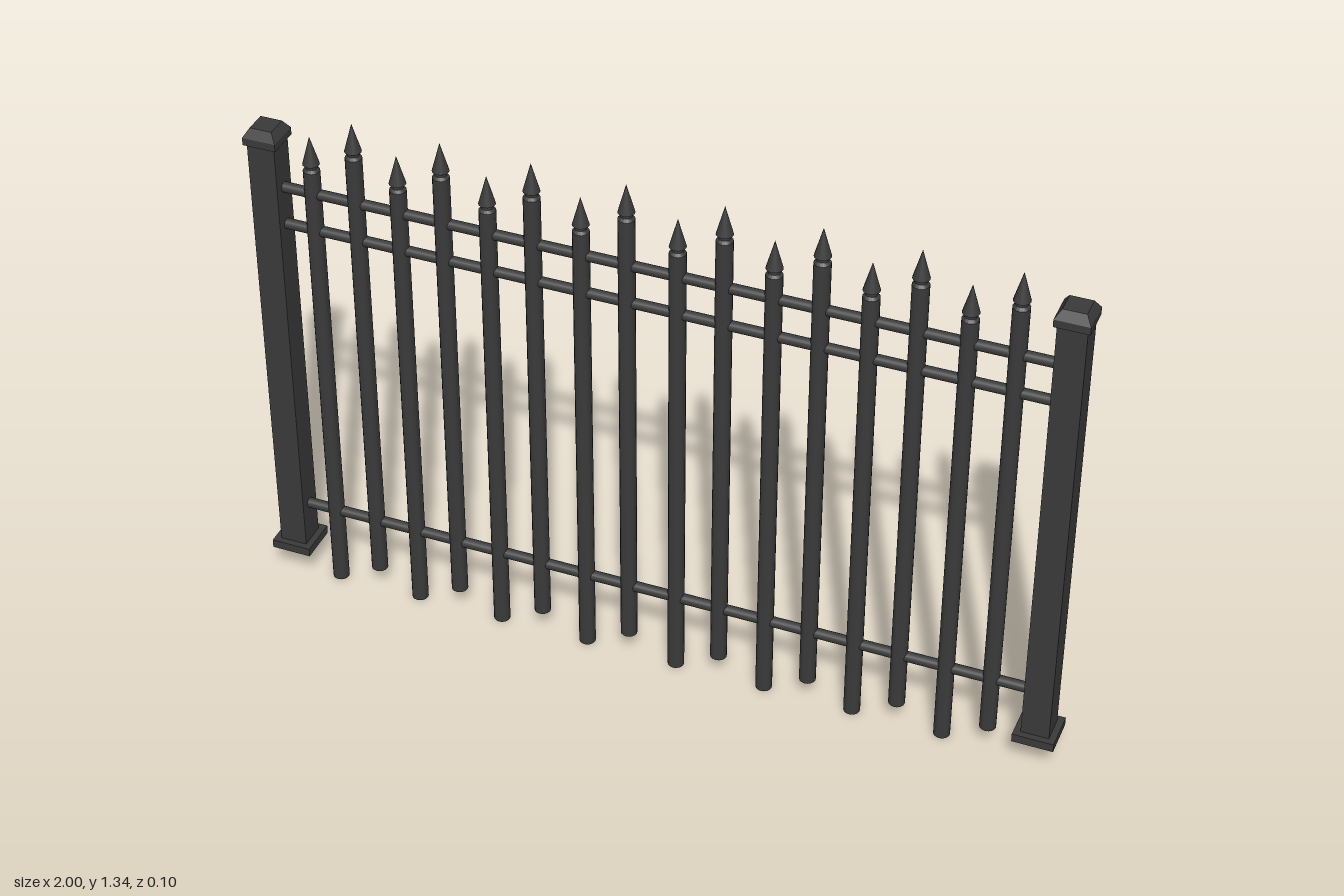
import * as THREE from 'three';
import { toCreasedNormals } from 'three/addons/utils/BufferGeometryUtils.js';

export function createModel() {
  const fence = new THREE.Group();
  fence.name = 'fence';
  const iron = new THREE.MeshStandardMaterial({ color: 0x3a3a3a });
  iron.name = 'dark iron';

  const add = (parent, name, geometry, x, y, z = 0) => {
    const mesh = new THREE.Mesh(geometry, iron);
    mesh.name = name;
    mesh.position.set(x, y, z);
    parent.add(mesh);
    return mesh;
  };

  // Square frustum, given by its full widths
  const frustum = (top, bottom, height) => toCreasedNormals(
    new THREE.CylinderGeometry(top * Math.SQRT1_2, bottom * Math.SQRT1_2, height, 4)
      .rotateY(Math.PI / 4), 0.3);

  // End posts with foot plate and bevelled cap
  for (const side of [-1, 1]) {
    const post = new THREE.Group();
    post.name = side > 0 ? 'leftPost' : 'rightPost';
    post.position.x = side * 0.95;
    add(post, 'footPlate', new THREE.BoxGeometry(0.1, 0.022, 0.1), 0, 0.089);
    add(post, 'postShaft', new THREE.BoxGeometry(0.068, 1.15, 0.068), 0, 0.675);
    add(post, 'capBand', new THREE.BoxGeometry(0.082, 0.019, 0.082), 0, 1.2585);
    add(post, 'capBevel', frustum(0.054, 0.082, 0.022), 0, 1.279);
    fence.add(post);
  }

  // Horizontal rails
  const railGeometry = new THREE.CylinderGeometry(0.013, 0.013, 1.86, 16).rotateZ(Math.PI / 2);
  for (const y of [0.207, 1.03, 1.13]) add(fence, 'rail', railGeometry, 0, y);

  // Picket: round bar, narrow neck and pointed spike
  const profile = [
    [0, 0], [0.02, 0], [0.02, 1.193], [0.014, 1.2], [0.014, 1.206],
    [0.02, 1.21], [0, 1.282],
  ].map(([r, y]) => new THREE.Vector2(r, y));
  const picketGeometry = toCreasedNormals(new THREE.LatheGeometry(profile, 16), 0.45);

  // Short and tall pickets alternate in pairs
  const pairs = [-0.842, -0.626, -0.406, -0.18, 0.05, 0.275, 0.497, 0.72];
  for (const x of pairs) {
    add(fence, 'lowPicket', picketGeometry, x, 0);
    add(fence, 'highPicket', picketGeometry, x + 0.109, 0.06);
  }
  return fence;
}
